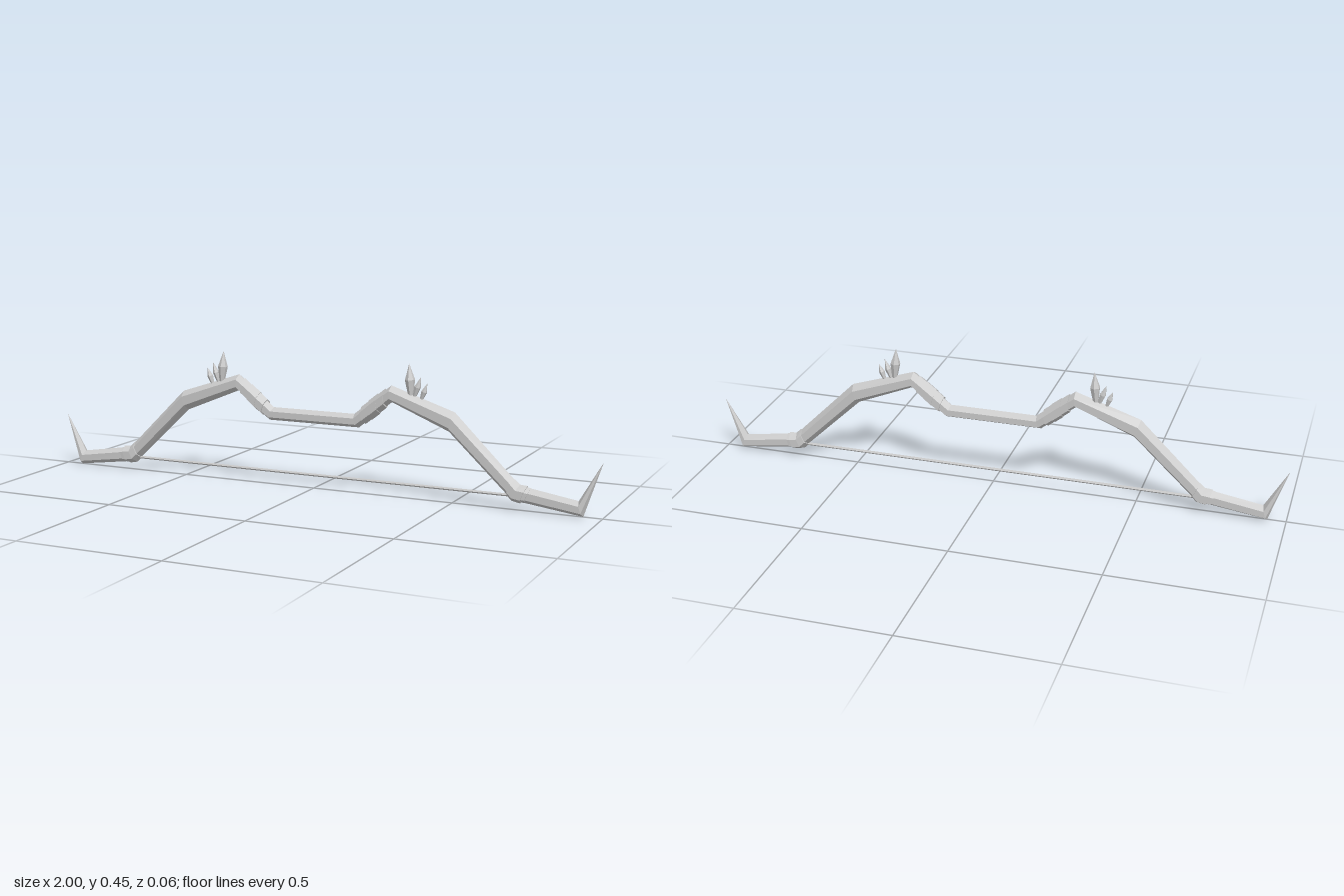
import * as THREE from 'three';

const material = new THREE.MeshStandardMaterial({ color: 0xcccccc, flatShading: true });

// Stations of one half: upper ridge x, y, lower ridge x, y, half width in z
const half = [
  [0.15, 0.273, 0.167, 0.228, 0.022],
  [0.283, 0.378, 0.285, 0.322, 0.028],
  [0.505, 0.305, 0.485, 0.24, 0.028],
  [0.728, 0.085, 0.703, 0.035, 0.021],
  [0.922, 0.054, 0.938, 0.004, 0.022],
  [0.998, 0.186, 0.998, 0.186, 0],
];

const mirrored = (list) => list.map(([a, b, c, d, w]) => [-a, b, -c, d, w]).reverse();

// Six-sided ring with ridges above and below and upright flanks
function ring([tx, ty, bx, by, w]) {
  const at = (t, z) => new THREE.Vector3(tx + (bx - tx) * t, ty + (by - ty) * t, z);
  return [at(0, 0), at(0.27, w), at(0.73, w), at(1, 0), at(0.73, -w), at(0.27, -w)];
}

// Skin over stations running toward +x, closed at both ends
function loft(name, stations) {
  const rings = stations.map(ring);
  const pts = [];
  for (let i = 0; i < rings.length - 1; i++) {
    for (let k = 0; k < 6; k++) {
      const n = (k + 1) % 6;
      const a = rings[i][k], b = rings[i][n], c = rings[i + 1][n], d = rings[i + 1][k];
      pts.push(a, b, d, b, c, d);
    }
  }
  const first = rings[0], last = rings[rings.length - 1];
  for (let k = 1; k < 5; k++) {
    pts.push(first[0], first[k + 1], first[k], last[0], last[k], last[k + 1]);
  }
  const geometry = new THREE.BufferGeometry().setFromPoints(pts);
  geometry.computeVertexNormals();
  const mesh = new THREE.Mesh(geometry, material);
  mesh.name = name;
  return mesh;
}

// Station part-way along a segment, enlarged about its centre
function between(i, t, scale, width) {
  const s = half[i].map((v, j) => v + (half[i + 1][j] - v) * t);
  const cx = (s[0] + s[2]) / 2, cy = (s[1] + s[3]) / 2;
  return [
    cx + (s[0] - cx) * scale, cy + (s[1] - cy) * scale,
    cx + (s[2] - cx) * scale, cy + (s[3] - cy) * scale, width,
  ];
}

// Slim faceted crystal from its foot to its tip, widest part-way up
function crystal(x, y, tipX, tipY, radius, waist) {
  const foot = new THREE.Vector3(x, y, 0);
  const axis = new THREE.Vector3(tipX, tipY, 0).sub(foot);
  const length = axis.length();
  const profile = [[0, 0], [radius * 0.4, 0], [radius, waist * length], [0, length]];
  const geometry = new THREE.LatheGeometry(profile.map((p) => new THREE.Vector2(...p)), 6);
  const mesh = new THREE.Mesh(geometry, material);
  mesh.name = 'crystal';
  mesh.position.copy(foot);
  mesh.quaternion.setFromUnitVectors(new THREE.Vector3(0, 1, 0), axis.normalize());
  return mesh;
}

export function createModel() {
  const model = new THREE.Group();
  model.name = 'bow';

  // Grip, limbs and pointed ends in one continuous stave
  model.add(loft('stave', [...mirrored(half), ...half]));

  // Wrappings beside the grip and collars where the string is tied
  const bands = [[0.2, 0.4, 1.2, 0.029], [0.4, 0.64, 1.28, 0.031], [0.64, 0.84, 1.18, 0.03]]
    .map(([t0, t1, s, w]) => ['gripWrap', [between(0, t0, s, w), between(0, t1, s, w)]]);
  bands.push(['collar', [
    between(2, 0.92, 1.08, 0.026), between(3, 0, 1.12, 0.029), between(3, 0.13, 1.2, 0.029),
  ]]);
  bands.push(['collarRim', [between(3, 0.12, 1.05, 0.026), between(3, 0.19, 1.02, 0.025)]]);
  for (const [name, stations] of bands) {
    model.add(loft(name + 'Left', stations), loft(name + 'Right', mirrored(stations)));
  }

  // Three crystals on each shoulder
  for (const side of [1, -1]) {
    const cluster = new THREE.Group();
    cluster.name = side > 0 ? 'crystalsLeft' : 'crystalsRight';
    cluster.add(
      crystal(side * 0.352, 0.335, side * 0.344, 0.455, 0.017, 0.55),
      crystal(side * 0.36, 0.335, side * 0.386, 0.413, 0.011, 0.55),
      crystal(side * 0.385, 0.33, side * 0.408, 0.393, 0.01, 0.55),
    );
    model.add(cluster);
  }

  // Bowstring
  const string = new THREE.Mesh(new THREE.CylinderGeometry(0.005, 0.005, 1.42, 6), material);
  string.name = 'string';
  string.rotation.z = Math.PI / 2;
  string.position.y = 0.05;
  model.add(string);

  return model;
}
